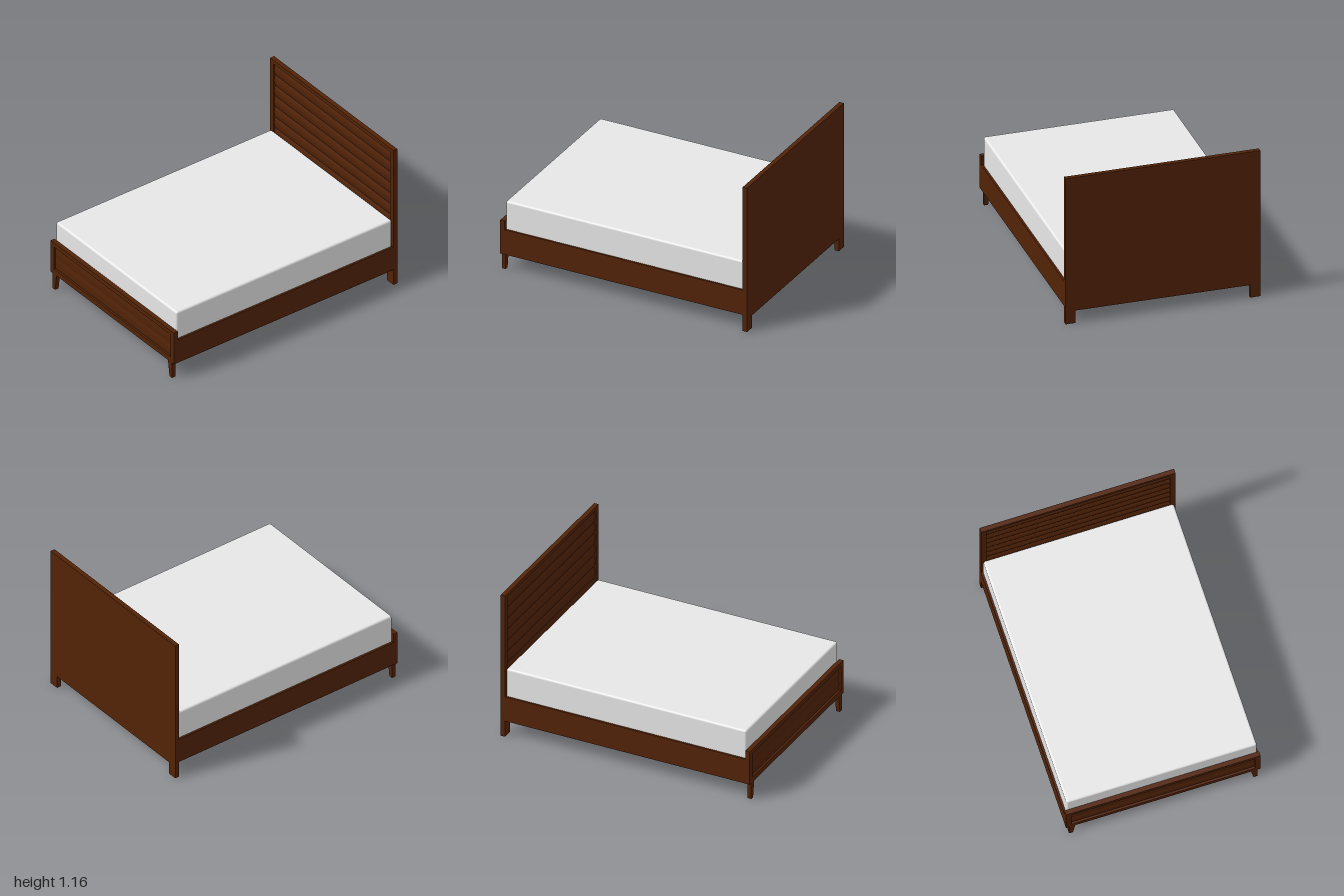
import * as THREE from 'three';
import { toCreasedNormals } from 'three/addons/utils/BufferGeometryUtils.js';
import { RoundedBoxGeometry } from 'three/addons/geometries/RoundedBoxGeometry.js';

const HALF_W = 0.73, OPEN_W = 0.69, PLANK = 0.0917;

export function createModel() {
  const bed = new THREE.Group();
  bed.name = 'bed';
  const wood = new THREE.MeshStandardMaterial({ color: 0x522307 });
  wood.name = 'dark wood';
  const fabric = new THREE.MeshStandardMaterial({ color: 0xeaeaea });
  fabric.name = 'mattress fabric';
  const slatWood = new THREE.MeshStandardMaterial({ color: 0xd8c69a });
  slatWood.name = 'slat wood';

  function add(parent, name, geometry, material, x = 0, y = 0, z = 0) {
    const mesh = new THREE.Mesh(geometry, material);
    mesh.name = name;
    mesh.position.set(x, y, z);
    parent.add(mesh);
    return mesh;
  }

  const box = (w, h, d) => new THREE.BoxGeometry(w, h, d);
  const polygon = pts => new THREE.Shape(pts.map(p => new THREE.Vector2(...p)));

  // Sweeps a (z, y) profile along x, centred on x = 0
  function alongX(shape, length) {
    const g = new THREE.ExtrudeGeometry(shape, { depth: length, bevelEnabled: false, curveSegments: 8 });
    g.translate(0, 0, -length / 2);
    g.rotateY(-Math.PI / 2);
    return toCreasedNormals(g, 0.5);
  }

  // Framed board: outline with a window, filled by a back panel and bulging planks
  function framedBoard(name, outline, bottom, count, z, bulge) {
    const group = new THREE.Group();
    group.name = name;
    group.position.z = z;
    const planksTop = bottom + count * PLANK, top = planksTop + 0.009;
    const depth = 0.035;

    const shape = polygon(outline);
    shape.holes.push(new THREE.Path([
      [-OPEN_W, bottom], [-OPEN_W, top], [OPEN_W, top], [OPEN_W, bottom],
    ].map(p => new THREE.Vector2(...p))));
    add(group, 'frame', new THREE.ExtrudeGeometry(shape, { depth, bevelEnabled: false }), wood);
    add(group, 'backPanel', box(OPEN_W * 2, top - bottom, 0.014), wood, 0, (top + bottom) / 2, 0.007);

    // Sloped trim under the top of the frame
    const trim = polygon([[0.014, planksTop], [0.02, planksTop], [0.034, top], [0.014, top]]);
    add(group, 'topTrim', alongX(trim, OPEN_W * 2), wood);

    // Planks with a softly rounded face
    const profile = new THREE.Shape();
    profile.moveTo(0.014, 0);
    profile.lineTo(0.019, 0);
    profile.quadraticCurveTo(0.019 + bulge, PLANK * 0.55, 0.019, PLANK);
    profile.lineTo(0.014, PLANK);
    const plank = alongX(profile, OPEN_W * 2);
    for (let i = 0; i < count; i++) add(group, 'plank', plank, wood, 0, bottom + i * PLANK, 0);
    bed.add(group);
  }

  // Headboard, whose posts run down to the floor
  framedBoard('headboard', [
    [-HALF_W, 0], [-0.655, 0], [-0.655, 0.1], [0.655, 0.1], [0.655, 0],
    [HALF_W, 0], [HALF_W, 1.165], [-HALF_W, 1.165],
  ], 0.208, 10, -1, 0.02);

  // Footboard
  framedBoard('footboard', [
    [-HALF_W, 0.13], [HALF_W, 0.13], [HALF_W, 0.4], [-HALF_W, 0.4],
  ], 0.172, 2, 0.965, 0.008);

  for (const side of [-1, 1]) {
    // Tapered front legs
    const pts = [[0.677, 0], [0.707, 0], [0.707, 0.13], [0.66, 0.13]].map(([x, y]) => [x * side, y]);
    add(bed, 'frontLeg', new THREE.ExtrudeGeometry(polygon(pts), { depth: 0.031, bevelEnabled: false }),
      wood, 0, 0, 0.969);
    // Side rails with inner ledges carrying the slats
    add(bed, 'sideRail', box(0.015, 0.2, 1.93), wood, side * 0.7225, 0.23, 0);
    add(bed, 'slatLedge', box(0.03, 0.03, 1.93), wood, side * 0.7, 0.247, 0);
  }

  // Slats
  const slat = new RoundedBoxGeometry(1.42, 0.022, 0.085, 2, 0.01);
  const slats = 18;
  for (let i = 0; i < slats; i++) {
    add(bed, 'slat', slat, slatWood, 0, 0.273, -0.91 + (1.82 * i) / (slats - 1));
  }

  // Mattress
  add(bed, 'mattress', new RoundedBoxGeometry(1.43, 0.272, 1.928, 4, 0.016), fabric, 0, 0.42, 0.001);

  return bed;
}
